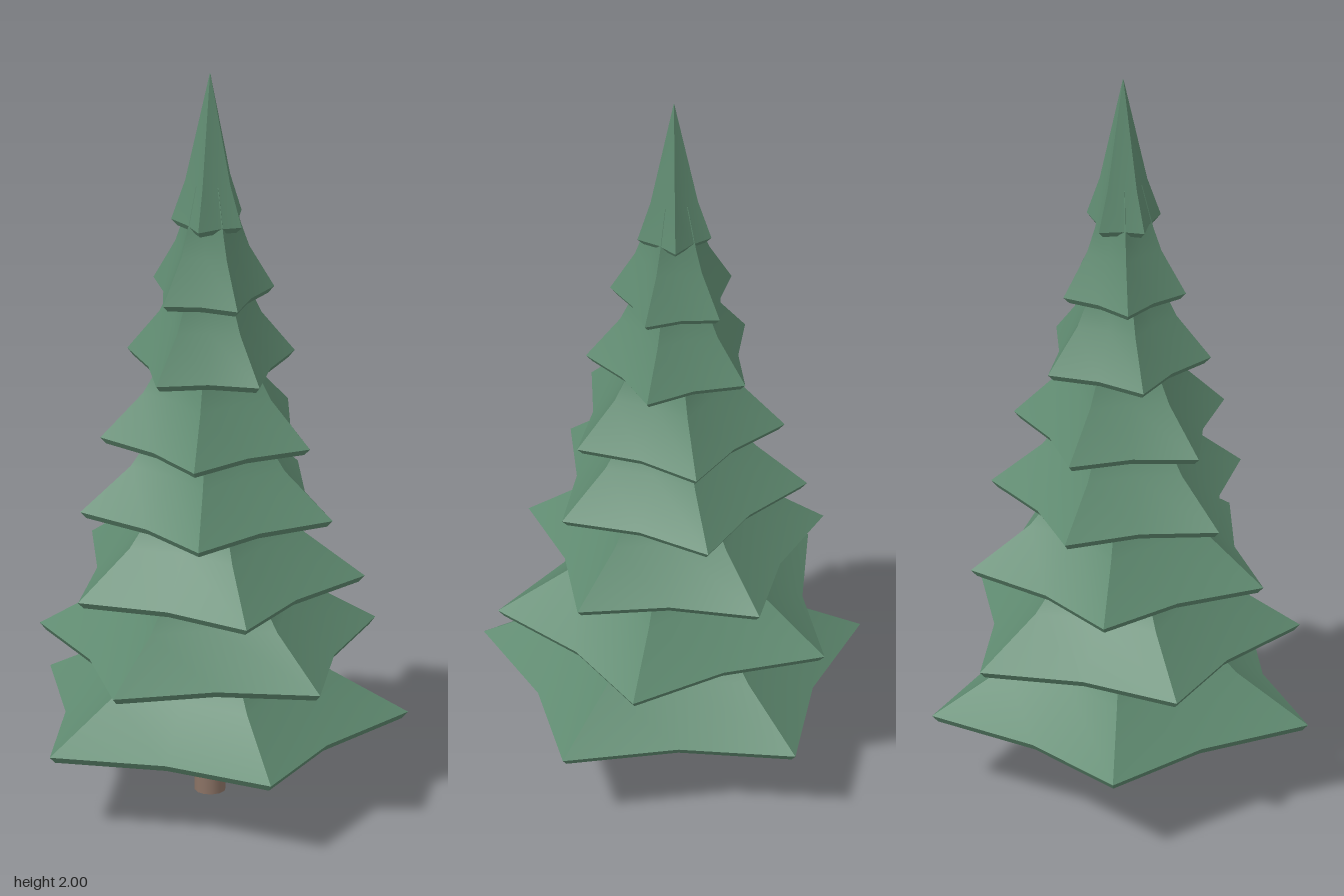
import * as THREE from 'three';
import { toCreasedNormals } from 'three/addons/utils/BufferGeometryUtils.js';

const CX = 0.037, CZ = 0.004;   // trunk axis
const POINTS = 5;               // branch tips per tier
const VALLEY = 0.73;            // radius between tips, relative to the tips

// Star-shaped skirt from [radius, y] rings, listed from bottom to top, capped at both ends
function starTier(rings, phase) {
  const n = POINTS * 2, pos = [], idx = [];
  const all = [[0, rings[0][1]], ...rings, [0, rings[rings.length - 1][1]]];
  for (const [r, y] of all) {
    for (let i = 0; i < n; i++) {
      const a = phase + (i * Math.PI) / POINTS;
      const s = i % 2 ? r * VALLEY : r;
      pos.push(Math.cos(a) * s, y, Math.sin(a) * s);
    }
  }
  for (let k = 0; k < all.length - 1; k++) {
    for (let i = 0; i < n; i++) {
      const j = (i + 1) % n;
      const a = k * n + i, b = k * n + j, c = a + n, d = b + n;
      if (all[k + 1][0] > 0) idx.push(a, c, d);
      if (all[k][0] > 0) idx.push(a, d, b);
    }
  }
  const g = new THREE.BufferGeometry();
  g.setAttribute('position', new THREE.Float32BufferAttribute(pos, 3));
  g.setIndex(idx);
  return toCreasedNormals(g, 0.55);
}

export function createModel() {
  const tree = new THREE.Group();
  tree.name = 'pineTree';
  const green = new THREE.MeshStandardMaterial({ color: 0x5f8a70 });
  const brown = new THREE.MeshStandardMaterial({ color: 0x8b7365 });

  // Trunk
  const trunk = new THREE.Mesh(new THREE.CylinderGeometry(0.04, 0.04, 0.3, 12), brown);
  trunk.name = 'trunk';
  trunk.position.set(CX, 0.15, CZ);
  tree.add(trunk);

  // Foliage tiers: [tip radius, turn in degrees], bottom to top
  const tiers = [
    [0.508, 38.3], [0.453, 17.6], [0.398, 42.6], [0.342, 61.3],
    [0.286, 64.5], [0.226, 22], [0.166, 31], [0.1, 2],
  ];
  tiers.forEach(([r, turn], i) => {
    const y = 0.197 * (i + 1);
    const top = i === tiers.length - 1;
    const rings = [[r - 0.016, y], [r, y + 0.018]];
    if (top) rings.push([0.064, y + 0.127], [0.001, 2]);
    else rings.push([r * 0.61, y + 0.135], [r * 0.48, y + 0.2], [r * 0.3, y + 0.32]);
    const tier = new THREE.Mesh(starTier(rings, THREE.MathUtils.degToRad(turn)), green);
    tier.name = top ? 'treetop' : `foliageTier${i + 1}`;
    tier.position.set(CX, 0, CZ);
    tree.add(tier);
  });
  return tree;
}
